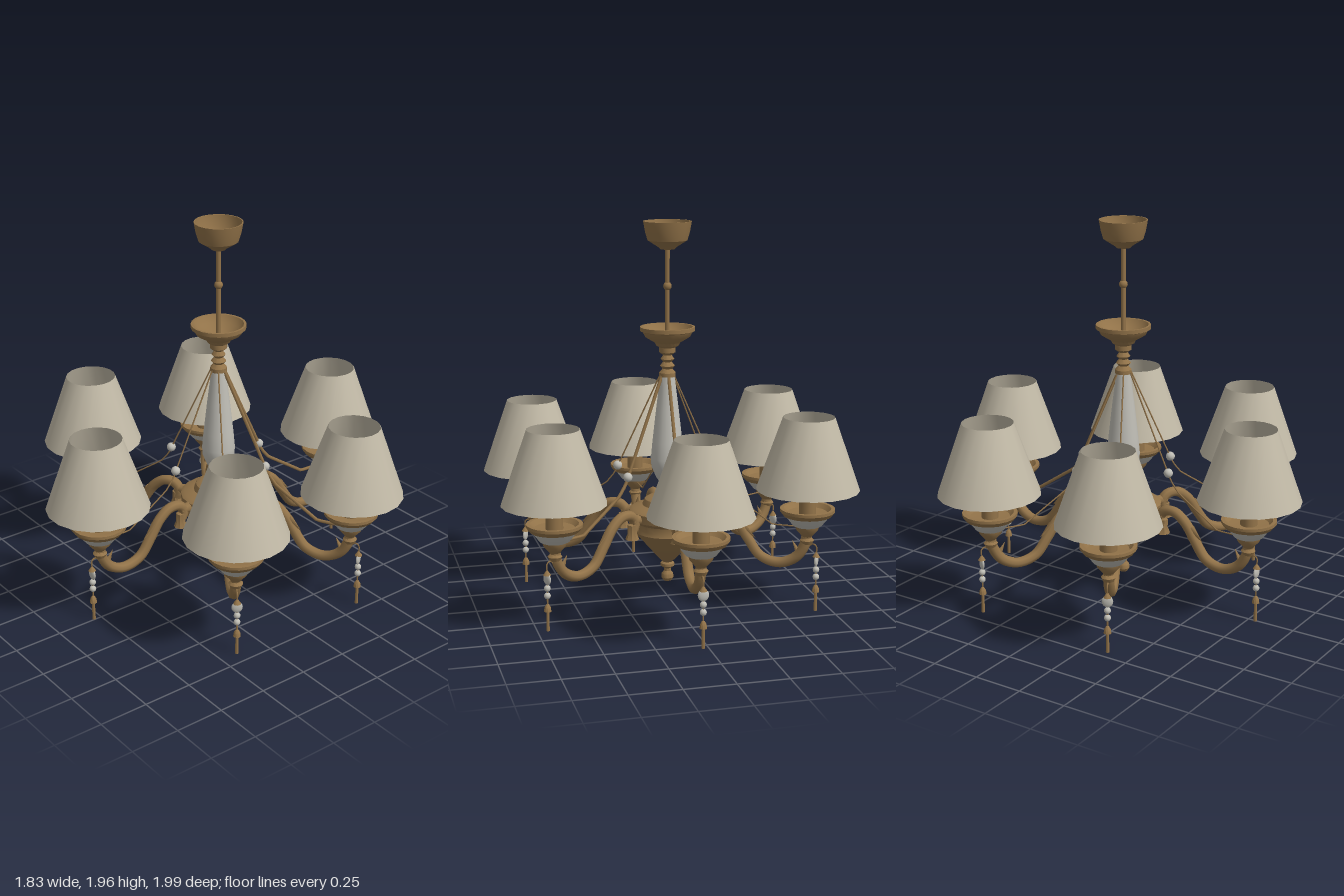
import * as THREE from 'three';
import { toCreasedNormals } from 'three/addons/utils/BufferGeometryUtils.js';

const material = (name, color, side = THREE.FrontSide) => {
  const m = new THREE.MeshStandardMaterial({ color, side });
  m.name = name;
  return m;
};

export function createModel() {
  const bronze = material('bronze', 0x927349);
  const linen = material('linen', 0xc2baa7, THREE.DoubleSide);
  const glass = material('frosted glass', 0xbfbdb5);

  const add = (parent, name, geometry, mat, x = 0, y = 0, z = 0) => {
    const mesh = new THREE.Mesh(geometry, mat);
    mesh.name = name;
    mesh.position.set(x, y, z);
    parent.add(mesh);
    return mesh;
  };
  // Turned part from [radius, height] pairs, listed from the bottom up the outside
  const turned = (points, segments = 20, crease = 0.6) => toCreasedNormals(
    new THREE.LatheGeometry(points.map(([r, y]) => new THREE.Vector2(r, y)), segments), crease);
  // Curve in the radial plane of an arm, from [radius, height] pairs
  const path = (points) => new THREE.CatmullRomCurve3(points.map(([r, y]) => new THREE.Vector3(r, y, 0)));
  const ball = (r) => new THREE.SphereGeometry(r, 12, 8);

  const model = new THREE.Group();
  model.name = 'chandelier';

  // Central column
  const column = new THREE.Group();
  column.name = 'column';
  column.position.z = -0.006;
  model.add(column);

  add(column, 'ceilingCanopy', turned([
    [0, 1.815], [0.035, 1.815], [0.045, 1.825], [0.1, 1.86], [0.112, 1.9], [0.122, 1.955],
    [0.116, 1.955], [0.106, 1.9], [0.09, 1.87], [0, 1.845]]), bronze);
  add(column, 'rod', new THREE.CylinderGeometry(0.012, 0.012, 0.48, 12), bronze, 0, 1.6, 0);
  add(column, 'rodKnob', ball(0.022), bronze, 0, 1.63, 0);
  add(column, 'upperBowl', turned([
    [0, 1.17], [0.042, 1.17], [0.042, 1.19], [0.025, 1.21], [0.038, 1.225], [0.022, 1.245],
    [0.035, 1.26], [0.022, 1.28], [0.042, 1.295], [0.042, 1.32], [0.058, 1.33], [0.065, 1.345],
    [0.115, 1.375], [0.128, 1.4], [0.14, 1.405], [0.14, 1.425], [0.128, 1.425], [0.105, 1.39],
    [0.05, 1.36], [0, 1.36]]), bronze);
  add(column, 'glassVase', turned([
    [0, 0.625], [0.045, 0.625], [0.06, 0.645], [0.083, 0.7], [0.085, 0.745], [0.077, 0.83],
    [0.058, 1.0], [0.043, 1.12], [0.037, 1.185], [0, 1.185]]), glass);
  add(column, 'hub', turned([
    [0, 0.085], [0.022, 0.088], [0.032, 0.105], [0.03, 0.125], [0.018, 0.14], [0.018, 0.155],
    [0.036, 0.168], [0.036, 0.182], [0.025, 0.19], [0.05, 0.215], [0.11, 0.285], [0.158, 0.34],
    [0.172, 0.36], [0.165, 0.38], [0.17, 0.41], [0.195, 0.43], [0.198, 0.475], [0.18, 0.487],
    [0.13, 0.5], [0.118, 0.53], [0.09, 0.545], [0.045, 0.55], [0.028, 0.57], [0.045, 0.59],
    [0.045, 0.605], [0.03, 0.615], [0.045, 0.63], [0, 0.63]]), bronze);

  // Shared arm shapes
  const armPath = path([[0.235, 0.4], [0.222, 0.44], [0.25, 0.478], [0.31, 0.482], [0.375, 0.435],
    [0.43, 0.355], [0.5, 0.265], [0.595, 0.238], [0.68, 0.272], [0.728, 0.34], [0.74, 0.4]]);
  const armTube = new THREE.TubeGeometry(armPath, 44, 0.027, 8);
  const scrollEnd = turned([[0, 0.35], [0.036, 0.355], [0.024, 0.385], [0.024, 0.43], [0, 0.44]], 8);
  const shade = new THREE.CylinderGeometry(0.13, 0.26, 0.37, 18, 1, true);
  const neck = turned([[0, 0.345], [0.026, 0.35], [0.036, 0.37], [0.022, 0.385], [0.034, 0.4],
    [0.056, 0.425], [0.062, 0.445], [0, 0.445]]);
  const glassCup = turned([[0.055, 0.44], [0.075, 0.45], [0.118, 0.505]]);
  const cupRim = turned([[0.115, 0.5], [0.122, 0.5], [0.139, 0.522], [0.139, 0.537], [0.12, 0.537],
    [0.1, 0.515], [0, 0.505]]);
  const candle = new THREE.CylinderGeometry(0.043, 0.043, 0.25, 12);
  const leaf = new THREE.ConeGeometry(0.02, 0.09, 5);
  const hook = new THREE.TubeGeometry(path([[0.745, 0.33], [0.77, 0.352], [0.79, 0.34], [0.79, 0.3]]), 10, 0.004, 5);
  const tasselCap = turned([[0, 0.1], [0.019, 0.1], [0.016, 0.12], [0.008, 0.135], [0, 0.14]], 10);
  const strandPath = new THREE.CurvePath();
  [[0.035, 1.18], [0.285, 0.645], [0.33, 0.59], [0.56, 0.437], [0.72, 0.437]]
    .map(([r, y]) => new THREE.Vector3(r, y, 0))
    .forEach((p, i, all) => i && strandPath.add(new THREE.LineCurve3(all[i - 1], p)));
  const strand = (r) => new THREE.TubeGeometry(strandPath, 40, r, 5);
  const thinStrand = strand(0.004), thickStrand = strand(0.009);

  // Six arms, each built along +x and turned about the column
  [30.8, 90.4, 152.5, 212, 272, 332.1].forEach((degrees, i) => {
    const arm = new THREE.Group();
    arm.name = 'arm' + (i + 1);
    arm.rotation.y = -THREE.MathUtils.degToRad(degrees);
    model.add(arm);

    add(arm, 'scrollArm', armTube, bronze);
    add(arm, 'scrollEnd', scrollEnd, bronze, 0.24, 0, 0).rotation.z = 0;
    const stub = add(arm, 'armSocket', new THREE.CylinderGeometry(0.024, 0.03, 0.08, 8), bronze, 0.205, 0.45, 0);
    stub.rotation.z = -Math.PI / 2;
    add(arm, 'middleLeaf', leaf, bronze, 0.44, 0.385, 0).rotation.z = -2.3;
    add(arm, 'outerLeaf', leaf, bronze, 0.685, 0.325, 0).rotation.z = 0.5;

    // Cup, candle, bulb and shade
    add(arm, 'cupNeck', neck, bronze, 0.74, 0, 0);
    add(arm, 'glassCup', glassCup, glass, 0.74, 0, 0);
    add(arm, 'cupRim', cupRim, bronze, 0.74, 0, 0);
    add(arm, 'candleTube', candle, bronze, 0.74, 0.63, 0);
    add(arm, 'bulb', ball(0.047), glass, 0.74, 0.79, 0);
    add(arm, 'lampShade', shade, linen, 0.74, 0.82, 0);

    // Strand from the column to the cup
    add(arm, 'strand', i > 3 ? thickStrand : thinStrand, bronze);
    add(arm, 'strandBead', ball(0.024), glass, 0.268, 0.685, 0);

    // Hanging pendant
    add(arm, 'pendantHook', hook, bronze);
    add(arm, 'pendantCap', new THREE.ConeGeometry(0.02, 0.03, 8), bronze, 0.79, 0.3, 0);
    add(arm, 'pendantDrop', ball(0.028), glass, 0.79, 0.265, 0).scale.set(0.35, 1.1, 1);
    for (const y of [0.218, 0.18]) add(arm, 'pendantBead', ball(0.017), glass, 0.79, y, 0);
    add(arm, 'pendantWire', new THREE.CylinderGeometry(0.004, 0.004, 0.18, 6), bronze, 0.79, 0.21, 0);
    add(arm, 'tasselCap', tasselCap, bronze, 0.79, 0, 0);
    add(arm, 'tassel', new THREE.CylinderGeometry(0.007, 0.009, 0.11, 6), bronze, 0.79, 0.055, 0);
  });
  return model;
}
